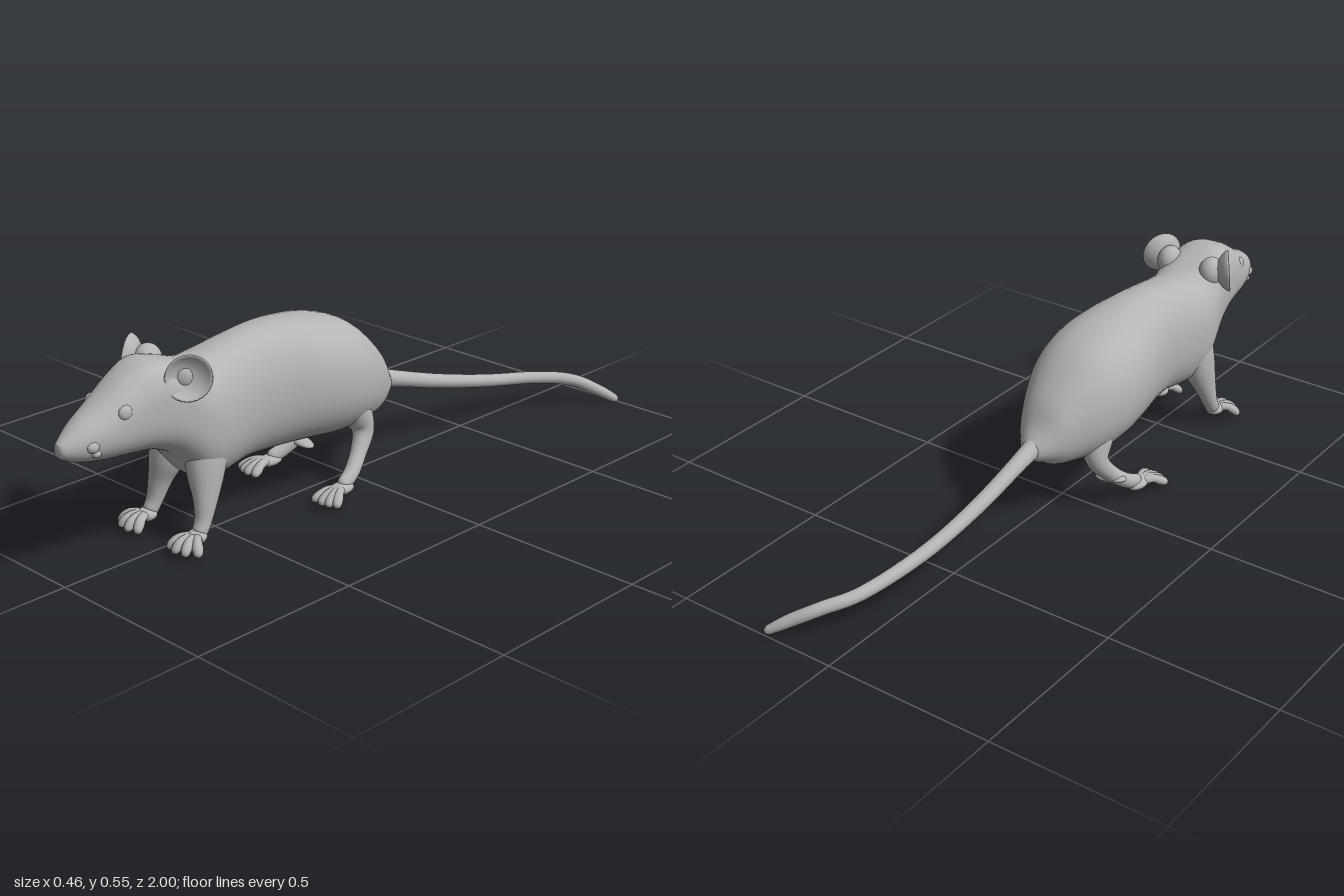
import * as THREE from 'three';

const grey = new THREE.MeshStandardMaterial({ color: 0xb4b4b4, side: THREE.DoubleSide });
grey.name = 'grey';

// Smooth closed loft; each station is [x, y, z, halfWidth, halfHeight, squareness]
function loft(stations, { axis, ref = [0, 1, 0], cap = 0.06, steps = 40, sides = 24 } = {}) {
  const path = new THREE.CatmullRomCurve3(stations.map(s => new THREE.Vector3(s[0], s[1], s[2])), false, 'catmullrom');
  const size = new THREE.CatmullRomCurve3(stations.map(s => new THREE.Vector3(s[3], s[4] ?? s[3], s[5] ?? 2)), false, 'catmullrom');
  const up = new THREE.Vector3(...ref);
  const pos = [], index = [];
  const bulge = (c, power) => Math.sign(c) * Math.pow(Math.abs(c), 2 / power);
  for (let i = 0; i <= steps; i++) {
    const t = (1 - Math.cos(Math.PI * i / steps)) / 2; // denser rings near both ends
    const p = path.getPoint(t), r = size.getPoint(t);
    const dir = axis ? new THREE.Vector3(...axis) : path.getTangent(t);
    const u = up.clone().cross(dir).normalize(), v = dir.clone().cross(u);
    const end = Math.min(1, Math.min(t, 1 - t) / cap);
    const k = Math.sqrt(Math.max(0, 1 - (1 - end) ** 2));
    for (let j = 0; j < sides; j++) {
      const a = j / sides * Math.PI * 2;
      const q = p.clone().addScaledVector(u, bulge(Math.cos(a), r.z) * r.x * k)
        .addScaledVector(v, bulge(Math.sin(a), r.z) * r.y * k);
      pos.push(q.x, q.y, q.z);
      if (i < steps) {
        const b = i * sides + j, c = i * sides + (j + 1) % sides;
        index.push(b, c, b + sides, c, c + sides, b + sides);
      }
    }
  }
  const g = new THREE.BufferGeometry();
  g.setAttribute('position', new THREE.Float32BufferAttribute(pos, 3));
  g.setIndex(index);
  g.computeVertexNormals();
  return g;
}

function add(parent, name, geometry) {
  const mesh = new THREE.Mesh(geometry, grey);
  mesh.name = name;
  parent.add(mesh);
  return mesh;
}

function blob(parent, name, [x, y, z], [sx, sy, sz]) {
  const mesh = add(parent, name, new THREE.SphereGeometry(1, 20, 14));
  mesh.position.set(x, y, z);
  mesh.scale.set(sx, sy, sz);
  return mesh;
}

// Palm with fanned knobbly toes
function foot(parent, name, s, [x, y, z], palm, angles, length) {
  const g = new THREE.Group();
  g.name = name;
  parent.add(g);
  blob(g, 'palm', [s * x, y, z], palm);
  for (const deg of angles) {
    const a = THREE.MathUtils.degToRad(deg), dx = s * Math.sin(a), dz = Math.cos(a);
    const at = (d, h, r) => [s * x + dx * d * length, h, z + dz * d * length, r, r * 0.9];
    add(g, 'toe', loft([at(0.1, y, 0.015), at(0.5, y + 0.004, 0.013), at(0.78, y - 0.008, 0.015), at(1, 0.016, 0.01)],
      { steps: 14, sides: 10, cap: 0.12 }));
  }
}

export function createModel() {
  const model = new THREE.Group();
  model.name = 'rodent';

  // Rump, trunk, neck, head and snout in one skin
  add(model, 'body', loft([
    [-0.02, 0.232, -0.19, 0.022, 0.022, 2],
    [-0.022, 0.246, -0.15, 0.058, 0.054, 2.1],
    [-0.023, 0.27, -0.1, 0.092, 0.105, 2.2],
    [-0.027, 0.308, 0, 0.14, 0.157, 2.2],
    [-0.028, 0.33, 0.1, 0.157, 0.175, 2.2],
    [-0.028, 0.343, 0.2, 0.148, 0.178, 2.2],
    [-0.028, 0.348, 0.3, 0.125, 0.179, 2.2],
    [-0.026, 0.345, 0.4, 0.113, 0.175, 2.2],
    [-0.024, 0.33, 0.5, 0.12, 0.173, 2.3],
    [-0.022, 0.333, 0.57, 0.124, 0.163, 2.4],
    [-0.02, 0.39, 0.65, 0.11, 0.13, 2.7],
    [-0.017, 0.415, 0.72, 0.097, 0.12, 2.7],
    [-0.012, 0.408, 0.79, 0.085, 0.104, 2.4],
    [-0.007, 0.388, 0.87, 0.071, 0.076, 2.2],
    [-0.003, 0.376, 0.94, 0.05, 0.051, 2.1],
    [0, 0.37, 0.985, 0.026, 0.027, 2],
    [0, 0.37, 1, 0.012, 0.014, 2],
  ], { axis: [0, 0, 1], cap: 0.02, steps: 110, sides: 48 }));

  add(model, 'tail', loft([
    [-0.022, 0.25, -0.12, 0.04], [-0.02, 0.233, -0.2, 0.026], [-0.012, 0.173, -0.4, 0.022],
    [0.008, 0.125, -0.6, 0.02], [0.05, 0.093, -0.8, 0.019], [0.11, 0.074, -0.9, 0.019],
    [0.172, 0.042, -0.955, 0.018], [0.224, 0.01, -0.995, 0.012],
  ], { steps: 60, sides: 16, cap: 0.03 }));

  // Cupped ear with a rolled rim, turned outward and forward
  const earProfile = [[0.001, -0.026], [0.03, -0.02], [0.05, -0.006], [0.06, 0.006], [0.062, 0.012],
    [0.058, 0.014], [0.052, 0.008], [0.04, -0.002], [0.02, -0.009], [0.001, -0.01]].map(p => new THREE.Vector2(...p));

  for (const s of [-1, 1]) {
    const side = s > 0 ? 'left' : 'right';
    const head = new THREE.Group();
    head.name = side + 'Face';
    head.position.x = -0.008;
    model.add(head);

    const ear = add(head, side + 'Ear', new THREE.LatheGeometry(earProfile, 28));
    ear.position.set(s * 0.108 - 0.009, 0.493, 0.654);
    ear.quaternion.setFromUnitVectors(new THREE.Vector3(0, 1, 0), new THREE.Vector3(s * 0.84, 0.08, 0.54).normalize());
    blob(head, side + 'EarRoot', [s * 0.072 - 0.009, 0.488, 0.635], [0.036, 0.046, 0.042]);

    blob(head, side + 'Eye', [s * 0.066, 0.438, 0.83], [0.012, 0.02, 0.021]);
    blob(head, side + 'UpperLip', [s * 0.05 + 0.005, 0.372, 0.925], [0.012, 0.015, 0.018]);
    blob(head, side + 'LowerLip', [s * 0.048 + 0.005, 0.352, 0.915], [0.012, 0.011, 0.013]);

    const limbs = new THREE.Group();
    limbs.name = side + 'Limbs';
    limbs.position.x = -0.027;
    model.add(limbs);

    // Shoulder flares into the chest so the leg grows out of the body
    add(limbs, side + 'FrontLeg', loft([
      [s * 0.055, 0.35, 0.54, 0.055, 0.06], [s * 0.066, 0.27, 0.555, 0.05, 0.066], [s * 0.077, 0.195, 0.57, 0.044, 0.054],
      [s * 0.09, 0.135, 0.584, 0.031, 0.037], [s * 0.097, 0.08, 0.6, 0.024], [s * 0.1, 0.042, 0.62, 0.021],
    ], { ref: [0, 0, 1] }));
    foot(limbs, side + 'FrontFoot', s, [0.1, 0.041, 0.628], [0.028, 0.019, 0.03], [-30, -4, 24, 52], 0.076);

    // Thigh stays inside the rump; only the shank shows
    add(limbs, side + 'HindLeg', loft([
      [s * 0.07, 0.27, 0.05, 0.055], [s * 0.082, 0.205, 0.012, 0.045], [s * 0.095, 0.155, 0.0, 0.032],
      [s * 0.112, 0.105, 0.035, 0.024], [s * 0.132, 0.062, 0.085, 0.022], [s * 0.145, 0.036, 0.14, 0.022, 0.017],
    ], { ref: [1, 0, 0] }));
    foot(limbs, side + 'HindFoot', s, [0.143, 0.034, 0.135], [0.027, 0.017, 0.042], [-16, 4, 20, 36], 0.092);
  }

  // Small fold of skin at the right ankle
  const fold = blob(model, 'rightHeelFold', [-0.133, 0.08, 0.05], [0.052, 0.012, 0.025]);
  fold.rotation.z = -0.15;

  return model;
}
